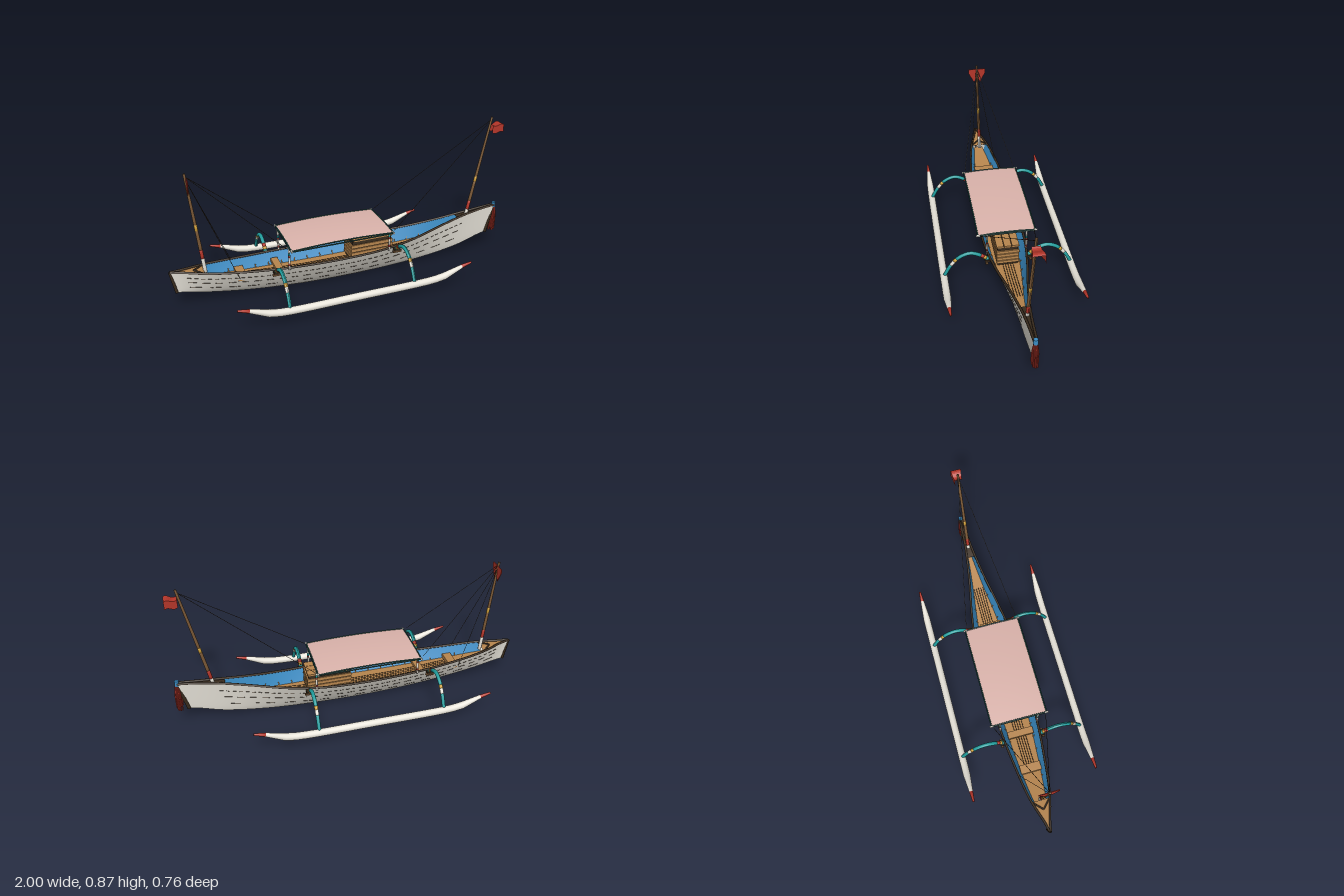
import * as THREE from 'three';

const V = (x, y, z) => new THREE.Vector3(x, y, z);
const lerp = THREE.MathUtils.lerp;
const colours = {
  hullWhite: 0xe6e2d8, darkTimber: 0x3a2c1e, wallBlue: 0x3a8cc4, deckWood: 0xb8864e, canopyPink: 0xdcb4ac,
  armTeal: 0x1f9c9c, red: 0xb5362a, yellow: 0xd0a03a, mastBrown: 0x7a5836, frameGreen: 0x1f4a44,
};
const M = {};
for (const [name, color] of Object.entries(colours)) {
  M[name] = new THREE.MeshStandardMaterial({ color, side: THREE.DoubleSide });
  M[name].name = name;
}

// Grid surface from a function of (u, v)
function surface(f, nu, nv) {
  const pos = [], idx = [];
  for (let i = 0; i <= nu; i++) for (let j = 0; j <= nv; j++) pos.push(...f(i / nu, j / nv).toArray());
  for (let i = 0; i < nu; i++) for (let j = 0; j < nv; j++) {
    const a = i * (nv + 1) + j, b = a + nv + 1;
    idx.push(a, b, a + 1, b, b + 1, a + 1);
  }
  const g = new THREE.BufferGeometry();
  g.setAttribute('position', new THREE.Float32BufferAttribute(pos, 3));
  g.setIndex(idx);
  g.computeVertexNormals();
  return g;
}

// Capped round bar along a stretch of a planar curve; side is the plane's normal
function bar(curve, t0, t1, radius, side, n = 16) {
  return surface((u, v) => {
    const k = Math.round(u * (n + 2));
    const t = lerp(t0, t1, THREE.MathUtils.clamp((k - 1) / n, 0, 1));
    const r = k === 0 || k === n + 2 ? 0 : radius(t);
    const up = curve.getTangentAt(t).cross(side).normalize();
    const a = v * Math.PI * 2;
    return curve.getPointAt(t).addScaledVector(up, r * Math.cos(a)).addScaledVector(side, r * Math.sin(a));
  }, n + 2, 12);
}

// Hull stations, evenly spaced from stern to bow
const stations = (vals) => new THREE.SplineCurve(vals.map((y, i) => new THREE.Vector2(i, y)));
const breadth = stations([.006, .06, .09, .11, .12, .123, .116, .088, .05, .022, .01]);
const sheer = stations([.235, .217, .202, .193, .188, .188, .193, .207, .238, .272, .295]);
const keel = stations([.105, .066, .036, .016, .004, 0, .002, .01, .028, .06, .115]);
function hullPoint(u, t, s = 1, inset = 0) {
  const w = Math.max(breadth.getPoint(u).y - inset, 0.001) * Math.pow(t, 0.75);
  return V(lerp(-.97 + 1.9 * u, -.995 + 1.97 * u, t), lerp(keel.getPoint(u).y, sheer.getPoint(u).y, t), s * w);
}

export function createModel() {
  const root = new THREE.Group();
  root.name = 'outriggerBoat';
  const add = (name, geo, mat, parent = root) => {
    const m = new THREE.Mesh(geo, mat);
    m.name = name;
    parent.add(m);
    return m;
  };
  const box = (name, w, h, d, x, y, z, mat) => add(name, new THREE.BoxGeometry(w, h, d), mat).position.set(x, y, z);
  const tube = (name, pts, r, mat, n = 1, sides = 6) =>
    add(name, new THREE.TubeGeometry(new THREE.CatmullRomCurve3(pts), n, r, sides), mat);
  const banded = (name, curve, r, side, bands) => {
    const g = new THREE.Group();
    g.name = name;
    root.add(g);
    let t0 = 0;
    for (const [t1, mat] of bands) {
      add(name + 'Band', bar(curve, t0, t1, r, side, Math.max(2, Math.ceil((t1 - t0) * 24))), mat, g);
      t0 = t1;
    }
  };

  for (const s of [1, -1]) {
    // Hull shell, painted inner wall, rail and plank seams
    add('hullSide', surface((u, v) => hullPoint(u, v, s), 60, 12), M.hullWhite);
    add('innerWall', surface((u, v) => hullPoint(lerp(.08, .9, u), lerp(.55, 1, v), s, .005), 50, 5), M.wallBlue);
    const edge = [];
    for (let i = 0; i <= 30; i++) edge.push(hullPoint(i / 30, 1, s, .003));
    tube('rail', edge, .007, M.darkTimber, 60);
    for (const [t, count] of [[.74, 48], [.52, 24], [.28, 16]]) {
      for (let i = 0; i < count; i++) {
        const at = (k) => hullPoint(lerp(.04, .9, (i + k) / count), t, s, -.0005);
        tube('plankSeam', [at(0), at(.3), at(.6)], .0016, M.darkTimber, 2, 4);
      }
    }
    // Ribs on the inner wall
    for (let u = .16; u < .8; u += .04) {
      tube('rib', [hullPoint(u, .58, s, .006), hullPoint(u, .7, s, .006)], .003, M.deckWood);
    }
  }
  tube('sternPost', [hullPoint(0, 0), hullPoint(0, .5, 0), hullPoint(0, 1, 0)], .009, M.darkTimber, 4);
  tube('stemPost', [hullPoint(1, 0), hullPoint(1, .5, 0), hullPoint(1, 1, 0)], .011, M.darkTimber, 4);

  // Decks
  const deck = (name, u0, u1, t, mat) => add(name, surface((u, v) => {
    const p = hullPoint(lerp(u0, u1, u), t, 1, .003);
    return p.setZ(p.z * (2 * v - 1));
  }, 40, 2), mat);
  deck('floor', .06, .9, .6, M.deckWood);
  deck('sternDeck', .01, .09, .97, M.deckWood);
  deck('bowDeck', .87, .995, .98, M.darkTimber);
  for (const s of [1, -1]) {
    const end = hullPoint(.09, .98, s, .004);
    tube('sternDeckEdge', [V(-.87, .223, 0), end], .005, M.darkTimber);
  }
  // Floor slats
  for (const [x0, x1] of [[-.63, .02], [.26, .55]]) {
    for (let k = -2; k <= 2; k++) {
      const at = (x) => V(x, hullPoint((x + .985) / 1.94, .6).y + .003, k * .014);
      tube('slatGap', [at(x0), at((x0 + x1) / 2), at(x1)], .0016, M.darkTimber, 10, 4);
    }
  }
  box('sternBench', .05, .025, .12, -.62, .15, 0, M.deckWood);
  box('sternSeat', .04, .02, .15, -.41, .155, 0, M.deckWood);

  // Cargo locker of stacked boards
  box('lockerCore', .24, .13, .115, .14, .18, 0, M.darkTimber);
  for (let i = 0; i < 4; i++) box('lockerBoard', .255, .018, .125, .14, .145 + i * .0235, 0, M.deckWood);
  for (let i = -1; i <= 1; i++) box('lockerLid', .24, .01, .04, .145, .252, i * .043, M.deckWood);

  // Canopy with frame and posts
  const roof = (x, z) => V(x, .32 + .01 * (1 - ((x + .072) / .298) ** 2) + .007 * (1 - (z / .16) ** 2), z);
  add('canopy', surface((u, v) => roof(lerp(-.37, .225, u), lerp(-.16, .16, v)), 16, 12), M.canopyPink);
  const mid = (a, b, f) => [0, .25, .5, .75, 1].map((k) => f(lerp(a, b, k)));
  for (const z of [-.16, .16]) {
    tube('canopyEdge', mid(-.37, .225, (x) => roof(x, z)), .004, M.frameGreen, 12);
    tube('canopySideBar', [V(-.37, .313, z * .97), V(.225, .313, z * .97)], .004, M.frameGreen);
  }
  for (const x of [-.37, .225]) {
    tube('canopyEndEdge', mid(-.16, .16, (z) => roof(x, z)), .004, M.frameGreen, 12);
    tube('canopyCrossBar', [V(x, .317, -.15), V(x, .317, .15)], .005, M.frameGreen);
    for (const s of [1, -1]) {
      tube('crossBarEnd', [V(x, .319, s * .15), V(x, .319, s * .17)], .006, M.hullWhite);
      banded('canopyPost', new THREE.LineCurve3(V(x, .18, s * .11), V(x, .32, s * .11)), () => .006, V(0, 0, 1),
        [[.18, M.hullWhite], [.27, M.red], [.55, M.hullWhite], [.63, M.red], [.75, M.armTeal], [1, M.hullWhite]]);
    }
  }

  // Outrigger floats and arched arms
  for (const s of [1, -1]) {
    const z = s * .36;
    const half = [[.67, .155], [.6, .137], [.5, .1], [.42, .09]];
    const pts = [...half.map(([x, y]) => V(-x - .05, y, z)), V(-.05, .088, z),
      ...half.reverse().map(([x, y]) => V(x - .05, y, z))];
    const taper = (t) => .021 * Math.min(1, .28 + Math.min(t, 1 - t) * 5.5);
    banded('float', new THREE.CatmullRomCurve3(pts), taper, V(0, 0, 1),
      [[.045, M.red], [.955, M.hullWhite], [1, M.red]]);
    for (const x of [-.445, .27]) {
      const arm = new THREE.CatmullRomCurve3([[.11, .183], [.15, .217], [.21, .242], [.27, .222], [.32, .168], [.357, .1]]
        .map(([az, y]) => V(x, y, s * az)));
      banded('outriggerArm', arm, (t) => .0115 - .002 * t, V(1, 0, 0), [[.06, M.armTeal], [.11, M.yellow],
        [.17, M.red], [.6, M.armTeal], [.66, M.yellow], [.75, M.hullWhite], [1, M.armTeal]]);
      box('armLashing', .034, .014, .03, x, .182, s * .116, M.darkTimber);
      box('armCleat', .05, .01, .014, x, .172, s * .122, M.mastBrown);
    }
  }

  // Masts
  const mastR = (t) => .0105 - .004 * t;
  banded('sternMast', new THREE.LineCurve3(V(-.808, .2, 0), V(-.865, .78, 0)), mastR, V(0, 0, 1),
    [[.15, M.hullWhite], [.24, M.red], [.44, M.mastBrown], [.5, M.yellow], [1, M.mastBrown]]);
  banded('bowMast', new THREE.LineCurve3(V(.783, .26, 0), V(.905, .865, 0)), mastR, V(0, 0, 1),
    [[.06, M.hullWhite], [.15, M.red], [.355, M.mastBrown], [.405, M.yellow], [1, M.mastBrown]]);

  // Rigging
  for (const s of [1, -1]) {
    tube('sternStay', [V(-.863, .765, 0), V(-.385, .327, s * .15)], .0014, M.darkTimber, 1, 4);
    tube('sternShroud', [V(-.862, .75, 0), V(-.64, .165, s * .082)], .0014, M.darkTimber, 1, 4);
    tube('bowStay', [V(.902, .85, 0), V(.235, .327, s * .15)], .0014, M.darkTimber, 1, 4);
  }

  // Stern pennant, hanging across the mast
  const pennant = new THREE.Shape([[-.053, .76], [-.053, .735], [-.02, .67], [0, .7], [.02, .67], [.053, .735], [.053, .76]]
    .map(([x, y]) => new THREE.Vector2(x, y - .76)));
  const p = add('sternPennant', new THREE.ExtrudeGeometry(pennant, { depth: .004, bevelEnabled: false }), M.red);
  p.rotation.set(0, Math.PI / 2, 0);
  p.position.set(-.86, .76, 0);

  // Bow flag, draped into a channel and waving
  const drape = [[-1, -.045], [-1, 0], [1, 0], [1, -.045]];
  add('bowFlag', surface((u, v) => {
    const [z, y] = drape[Math.round(v * 3)];
    return V(lerp(.903, .97, u), .82 + y - .006 * Math.sin(u * 6), z * lerp(.02, .03, u));
  }, 8, 3).toNonIndexed(), M.red).geometry.computeVertexNormals();

  // Stem head and tassel
  add('stemHead', new THREE.CylinderGeometry(.011, .013, .03, 12), M.wallBlue).position.set(.975, .297, 0);
  for (let i = 0; i < 22; i++) {
    const a = i * 2.4, r = Math.sqrt((i + .5) / 22), low = .115 + .035 * ((i * 7) % 5) / 5;
    const x = .976 + Math.cos(a) * r * .018, z = Math.sin(a) * r * .019;
    tube('tasselStrand', [V(.976 + Math.cos(a) * .008, .285, z * .4), V(x, .22, z), V(x, low, z * .9)],
      .0035, M.red, 4, 5);
  }
  return root;
}
